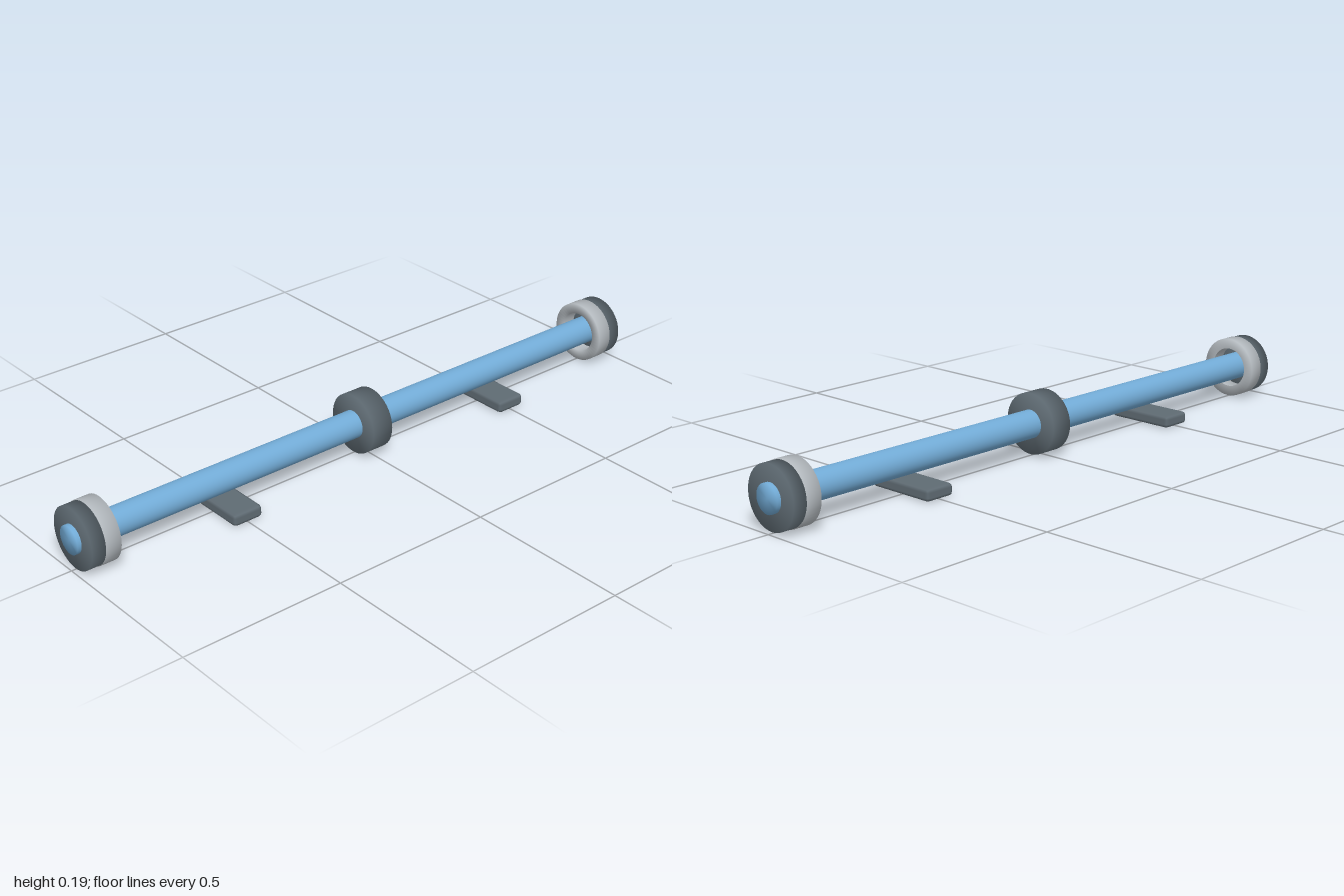
import * as THREE from 'three';
import { RoundedBoxGeometry } from 'three/addons/geometries/RoundedBoxGeometry.js';

const AXIS_Y = 0.095;

function material(name, color) {
  const m = new THREE.MeshStandardMaterial({ color });
  m.name = name;
  return m;
}

// Smoothly shaded turned part along z; profile is a list of [radius, z]
function turned(name, profile, mat) {
  const points = profile.map(([r, z]) => new THREE.Vector2(r, z));
  const geometry = new THREE.LatheGeometry(points, 48).rotateX(Math.PI / 2);
  const mesh = new THREE.Mesh(geometry, mat);
  mesh.name = name;
  mesh.position.y = AXIS_Y;
  return mesh;
}

const disc = (r, halfLength) => [[0, -halfLength], [r, -halfLength], [r, halfLength], [0, halfLength]];

export function createModel() {
  const blue = material('tube blue', 0x72abd6);
  const grey = material('dark grey', 0x5f6b73);
  const silver = material('light grey', 0xb4babf);

  const model = new THREE.Group();
  model.name = 'tubeAssembly';

  // Long tube with a collar at its middle
  model.add(turned('tube', disc(0.042, 1), blue));
  model.add(turned('middleCollar', disc(0.0915, 0.035), grey));

  // Each end: cap, open ring and flat foot
  for (const [side, s] of [['front', 1], ['back', -1]]) {
    const cap = turned(side + 'Cap', disc(0.0915, 0.0225), grey);
    cap.position.z = s * 0.965;
    model.add(cap);

    const h = 0.0235;
    const ring = turned(side + 'Ring',
      [[0.062, -h], [0.0935, -h], [0.0935, h], [0.062, h], [0.062, -h]], silver);
    ring.position.z = s * 0.922;
    model.add(ring);

    const foot = new THREE.Mesh(new RoundedBoxGeometry(0.22, 0.037, 0.096, 1, 0.011), grey);
    foot.name = side + 'Foot';
    foot.position.set(0, 0.0185, s * 0.5);
    model.add(foot);
  }
  return model;
}
